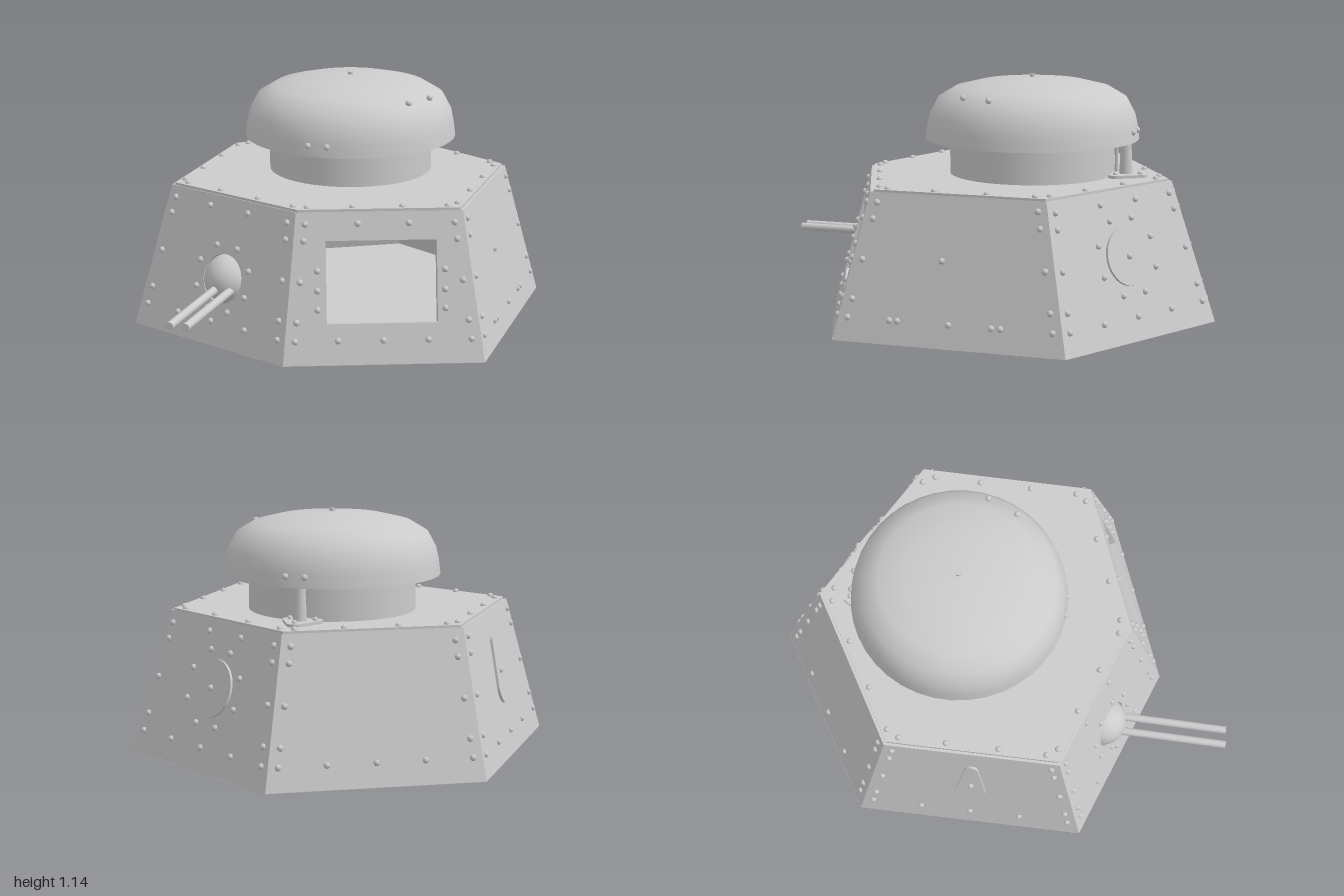
import * as THREE from 'three';
import { mergeGeometries } from 'three/addons/utils/BufferGeometryUtils.js';

const grey = new THREE.MeshStandardMaterial({ color: 0xcccccc, side: THREE.DoubleSide });
const V2 = (x, y) => new THREE.Vector2(x, y);
const V3 = (x, y, z) => new THREE.Vector3(x, y, z);

function add(parent, name, geometry, x = 0, y = 0, z = 0) {
  const mesh = new THREE.Mesh(geometry, grey);
  mesh.name = name;
  mesh.position.set(x, y, z);
  parent.add(mesh);
  return mesh;
}

// Ground plan as (x, z) corners, and how far each wall leans in at the top
const H = 0.665;
const base = [[-0.31, 0.79], [0.6, 0.79], [1, -0.23], [0.37, -1], [-0.61, -0.84], [-1, 0.18]].map(p => V2(...p));
const lean = [0.18, 0.15, 0.19, 0.19, 0.15, 0.18];

// Moves every edge of a plan inward and intersects the neighbours
function inset(plan, amounts) {
  const n = plan.length;
  const lines = plan.map((p, i) => {
    const d = plan[(i + 1) % n].clone().sub(p).normalize();
    const nx = -d.y, nz = d.x;
    return [nx, nz, nx * p.x + nz * p.y - amounts[i]];
  });
  return lines.map(([a, b, c], i) => {
    const [d, e, f] = lines[(i + n - 1) % n];
    const det = a * e - b * d;
    return V2((c * e - b * f) / det, (a * f - c * d) / det);
  });
}

// Horizontal plate from a plan
function plate(plan, y0, y1) {
  const shape = new THREE.Shape(plan.map(p => V2(p.x, -p.y)));
  return new THREE.ExtrudeGeometry(shape, { depth: y1 - y0, bevelEnabled: false }).rotateX(-Math.PI / 2).translate(0, y0, 0);
}

function rivets(parent, points, r = 0.015) {
  const parts = points.map(([x, y, z = 0]) => new THREE.SphereGeometry(r, 8, 6).translate(x, y, z));
  add(parent, 'rivets', mergeGeometries(parts));
}

function rect(x0, x1, y0, y1, Type = THREE.Shape) {
  return new Type([V2(x0, y0), V2(x1, y0), V2(x1, y1), V2(x0, y1)]);
}

function circle(x, y, r, Type = THREE.Shape) {
  const c = new Type();
  c.absarc(x, y, r, 0, Math.PI * 2);
  return c;
}

const ring = (x, y, r, count, turn = 0) => Array.from({ length: count }, (_, i) => {
  const a = turn + (i / count) * Math.PI * 2;
  return [x + r * Math.cos(a), y + r * Math.sin(a)];
});

// Cylinder between two points
function rod(parent, name, a, b, r, r2 = r) {
  const dir = b.clone().sub(a);
  const mid = a.clone().add(b).multiplyScalar(0.5);
  const mesh = add(parent, name, new THREE.CylinderGeometry(r2, r, dir.length(), 16), mid.x, mid.y, mid.z);
  mesh.quaternion.setFromUnitVectors(V3(0, 1, 0), dir.normalize());
}

// Sloped wall in its own frame: x along the edge, y up the slope, z outward
function buildWall(parent, name, i, top, opening, lining) {
  const j = (i + 1) % 6;
  const a = V3(base[i].x, 0, base[i].y), b = V3(base[j].x, 0, base[j].y);
  const c = V3(top[i].x, H, top[i].y), d = V3(top[j].x, H, top[j].y);
  const origin = a.clone().add(b).multiplyScalar(0.5);
  const u = b.clone().sub(a).normalize();
  const w = c.clone().sub(a).addScaledVector(u, -c.clone().sub(a).dot(u)).normalize();
  const n = u.clone().cross(w);
  const group = new THREE.Group();
  group.name = name;
  group.quaternion.setFromRotationMatrix(new THREE.Matrix4().makeBasis(u, w, n));
  group.position.copy(origin);
  parent.add(group);
  const local = [a, b, d, c].map(p => p.sub(origin)).map(p => V2(p.dot(u), p.dot(w)));
  const shape = new THREE.Shape(local);
  if (opening) {
    shape.holes.push(opening);
    lining.holes.push(opening);
    add(group, 'openingLining', new THREE.ExtrudeGeometry(lining, { depth: 0.06, bevelEnabled: false, curveSegments: 24 }), 0, 0, -0.062);
  }
  add(group, 'wallPlate', new THREE.ShapeGeometry(shape, 24));

  // Rivets up both sides and along the bottom
  const L = local[3].y;
  const sideX = (k, y) => THREE.MathUtils.lerp(local[k].x, local[k === 0 ? 3 : 2].x, y / L);
  const points = [];
  for (const y of [0.11, 0.195, 0.375, 0.56, 0.635]) points.push([sideX(0, y) + 0.045, y], [sideX(1, y) - 0.045, y]);
  for (const t of [0.27, 0.5, 0.73]) points.push([THREE.MathUtils.lerp(sideX(0, 0.11), sideX(1, 0.11), t), 0.11]);
  if (i % 5 === 0 || i === 2) for (const x of [-0.11, 0.12]) points.push([x, 0.635]);
  rivets(group, points);
  return group;
}

export function createModel() {
  const model = new THREE.Group();
  model.name = 'armouredTurret';
  const top = inset(base, lean);

  // Hull
  const hull = new THREE.Group();
  hull.name = 'hull';
  model.add(hull);
  add(hull, 'floor', plate(base, 0, 0.002));
  const front = buildWall(hull, 'frontWall', 0, top, rect(-0.255, 0.245, 0.186, 0.559, THREE.Path), rect(-0.275, 0.265, 0.166, 0.579));
  const sideWall = buildWall(hull, 'leftWall', 1, top);
  const hatchWall = buildWall(hull, 'hatchWall', 2, top);
  buildWall(hull, 'backWall', 3, top);
  const portWall = buildWall(hull, 'pistolPortWall', 4, top);
  const gunWall = buildWall(hull, 'gunWall', 5, top, circle(0.03, 0.315, 0.115, THREE.Path), circle(0.03, 0.315, 0.13));

  rivets(front, [0.25, 0.335, 0.425].flatMap(y => [[-0.295, y], [0.28, y]]));
  rivets(sideWall, [[-0.05, 0.39], [0.2, 0.11], [-0.28, 0.11]]);

  // Round hatch
  const disc = new THREE.CylinderGeometry(0.135, 0.135, 0.02, 32).rotateX(Math.PI / 2);
  add(hatchWall, 'roundHatch', disc, 0, 0.385, 0.002);
  rivets(hatchWall, [[0, 0.385, 0.014], ...ring(0, 0.385, 0.185, 8, Math.PI / 8)]);

  // Teardrop pistol port cover
  const drop = new THREE.Shape();
  drop.absarc(0, 0.32, 0.075, Math.PI - 0.2, Math.PI * 2 + 0.2);
  drop.absarc(0, 0.54, 0.032, 0.2, Math.PI - 0.2);
  add(portWall, 'pistolPortCover', new THREE.ExtrudeGeometry(drop, { depth: 0.012, bevelEnabled: false }));
  rivets(portWall, [[0, 0.4, 0.012]]);

  // Ball mount and twin guns
  add(gunWall, 'gunBall', new THREE.SphereGeometry(0.12, 32, 20), 0.03, 0.315, -0.055);
  rivets(gunWall, ring(0.03, 0.315, 0.16, 8, Math.PI / 8));
  const guns = new THREE.Group();
  guns.name = 'twinGuns';
  model.add(guns);
  for (const [x, z] of [[-0.585, 0.42], [-0.515, 0.443]]) {
    const start = V3(x, 0.265, z), end = V3(x - 0.217, 0.265, z + 0.54);
    rod(guns, 'barrel', start, end, 0.019);
    rod(guns, 'barrelSleeve', start, start.clone().lerp(end, 0.11), 0.028);
  }

  // Roof plate set just inside the wall tops
  const roofPlan = inset(top, Array(6).fill(0.014));
  add(hull, 'roofLedge', plate(top, H - 0.01, H - 0.004));
  add(hull, 'roofPlate', plate(roofPlan, H - 0.006, H + 0.008));
  const line = inset(top, Array(6).fill(0.042));
  rivets(hull, line.flatMap((p, i) => [0.05, 0.34, 0.66, 0.95].map(t => {
    const q = p.clone().lerp(line[(i + 1) % 6], t);
    return [q.x, H + 0.009, q.y];
  })));

  // Cupola: drum, domed cap and cap rivets
  const cupola = new THREE.Group();
  cupola.name = 'cupola';
  cupola.position.set(0.05, 0, -0.16);
  model.add(cupola);
  add(cupola, 'drum', new THREE.CylinderGeometry(0.393, 0.393, 0.175, 48, 1, true), 0, 0.7575, 0);
  const profile = [[0.51, 0.84], [0.503, 0.9], [0.49, 0.96], [0.45, 1.035], [0.37, 1.083], [0.25, 1.112], [0.12, 1.126], [0, 1.13]];
  add(cupola, 'dome', new THREE.LatheGeometry(profile.map(p => V2(...p)), 40));
  add(cupola, 'domeUnderside', new THREE.CircleGeometry(0.51, 40).rotateX(Math.PI / 2), 0, 0.84, 0);
  add(cupola, 'topKnob', new THREE.CylinderGeometry(0.012, 0.012, 0.02, 12), 0, 1.133, 0);
  rivets(cupola, [[0.25, 1.06, 0.34], [0.36, 1.06, 0.23], [-0.225, 0.89, 0.452], [-0.14, 0.89, 0.484], [0.225, 0.89, -0.452], [0.14, 0.89, -0.484]]);

  // Post with a three-bolt foot under the rear of the dome
  const post = new THREE.Group();
  post.name = 'cupolaPost';
  post.position.set(0.21, H + 0.008, -0.59);
  post.rotation.y = -0.37;
  model.add(post);
  const foot = new THREE.Shape();
  const corners = [Math.PI / 2, Math.PI * 7 / 6, Math.PI * 11 / 6];
  for (const a of corners) foot.absarc(0.07 * Math.cos(a), 0.07 * Math.sin(a), 0.035, a - Math.PI / 3, a + Math.PI / 3);
  add(post, 'foot', new THREE.ExtrudeGeometry(foot, { depth: 0.014, bevelEnabled: false }).rotateX(-Math.PI / 2));
  rivets(post, corners.map(a => [0.07 * Math.cos(a), 0.016, -0.07 * Math.sin(a)]), 0.013);
  rod(post, 'pillar', V3(0, 0, 0), V3(0, 0.167, 0), 0.032, 0.025);
  rod(post, 'lockingPin', V3(0, 0.02, 0.045), V3(0, 0.167, 0.045), 0.009);
  add(post, 'pinBracket', new THREE.BoxGeometry(0.02, 0.015, 0.05), 0, 0.15, 0.025);

  return model;
}
